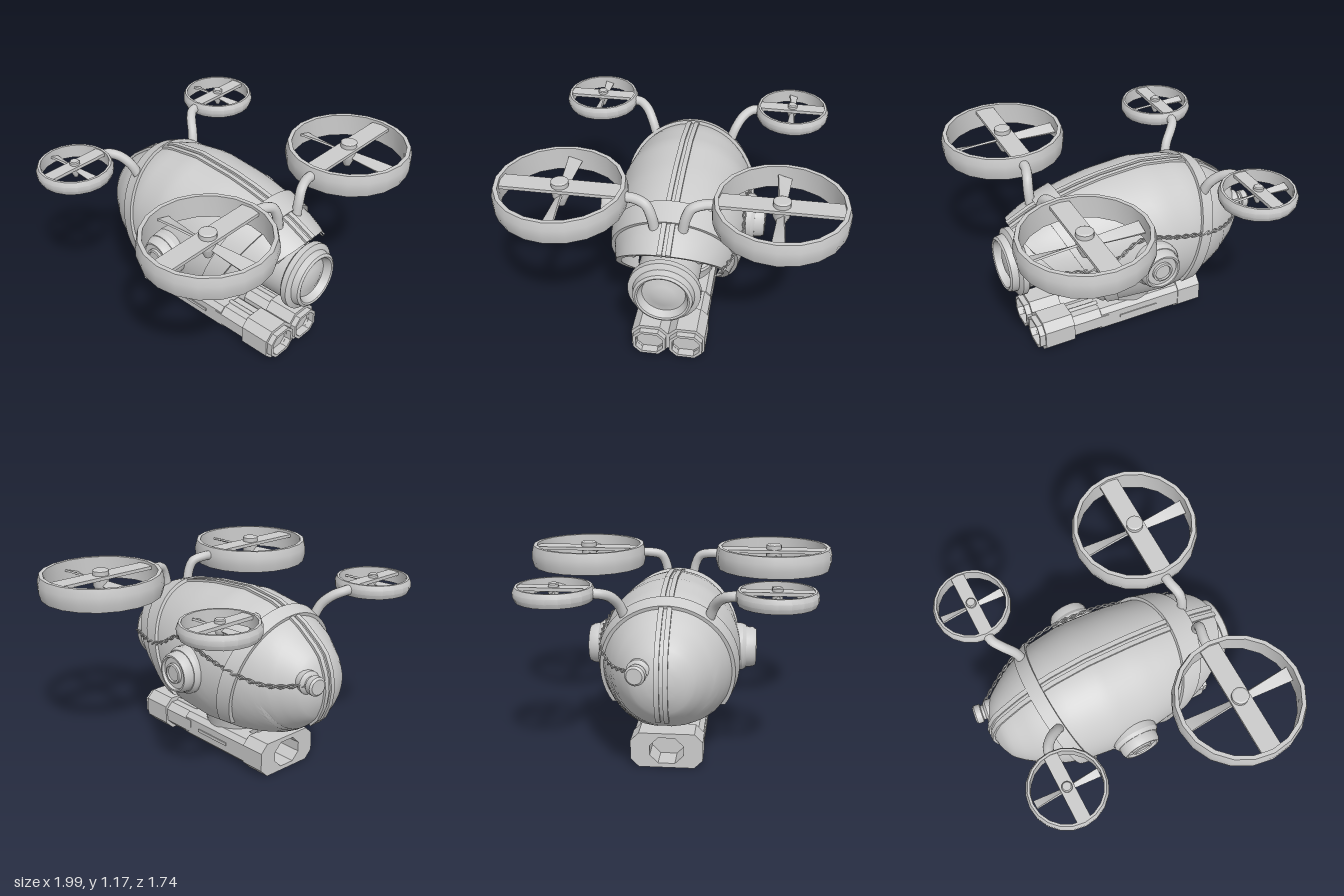
import * as THREE from 'three';
import { toCreasedNormals } from 'three/addons/utils/BufferGeometryUtils.js';

const mat = new THREE.MeshStandardMaterial({ color: 0xcccccc, side: THREE.DoubleSide });
const V = (x, y, z) => new THREE.Vector3(x, y, z);
const lerp = THREE.MathUtils.lerp;

function add(parent, name, geo, x = 0, y = 0, z = 0) {
  const m = new THREE.Mesh(geo, mat);
  m.name = name;
  m.position.set(x, y, z);
  parent.add(m);
  return m;
}

// Skin a list of closed rings, with optional fan caps
function loft(rings, caps = true, crease = 0.7) {
  const n = rings[0].length, pts = rings.flat(), idx = [];
  for (let i = 0; i < rings.length - 1; i++) for (let j = 0; j < n; j++) {
    const a = i * n + j, b = i * n + (j + 1) % n;
    idx.push(a, a + n, b, b, a + n, b + n);
  }
  if (caps) [0, rings.length - 1].forEach((r, e) => {
    const c = pts.length;
    pts.push(rings[r].reduce((s, p) => s.add(p), V(0, 0, 0)).divideScalar(n));
    for (let j = 0; j < n; j++) {
      const a = r * n + j, b = r * n + (j + 1) % n;
      e ? idx.push(c, b, a) : idx.push(c, a, b);
    }
  });
  const g = new THREE.BufferGeometry().setFromPoints(pts);
  g.setIndex(idx);
  return toCreasedNormals(g, crease);
}

const lathe = (profile, seg = 32) =>
  toCreasedNormals(new THREE.LatheGeometry(profile.map(p => new THREE.Vector2(...p)), seg), 0.5);

// Hull profile: z and radius about the axis at height AXIS
const AXIS = 0.63, WIDE = 0.935, TAIL = -0.825;
const PROFILE = [[0.72, 0.235], [0.69, 0.25], [0.55, 0.32], [0.4, 0.37], [0.25, 0.405], [0.1, 0.43], [-0.17, 0.45],
  [-0.39, 0.42], [-0.5, 0.38], [-0.6, 0.33], [-0.72, 0.24], [-0.77, 0.19], [-0.81, 0.1], [TAIL, 0]];
function radius(z) {
  for (let i = 1; i < PROFILE.length; i++) {
    const [z0, r0] = PROFILE[i - 1], [z1, r1] = PROFILE[i];
    if (z >= z1) return lerp(r0, r1, Math.max(0, (z0 - z) / (z0 - z1)));
  }
  return 0;
}
// Point on the hull at fraction u of the arch, where z depends on the height
function hullPoint(u, off, zOf, floor) {
  let y = AXIS, z = 0, x = 0;
  for (let k = 0; k < 24; k++) {
    z = zOf(y);
    const r = Math.max(0.001, radius(z) + off);
    const a0 = -Math.asin(Math.min(1, (AXIS - floor(z)) / r));
    const a = lerp(a0, Math.PI - a0, u);
    y = AXIS + r * Math.sin(a);
    x = WIDE * r * Math.cos(a);
  }
  return V(x, y, z);
}
const hoodFront = y => 0.23 + (y - 0.36) * 0.885;
const hullFloor = z => 0.35 + 0.045 * z;

function arches(off, shift, floor, rows = 36, n = 48) {
  return Array.from({ length: rows + 1 }, (_, i) => {
    const t = 1 - (1 - i / rows) ** 1.6;
    return Array.from({ length: n + 1 }, (_, j) =>
      hullPoint(j / n, off, y => lerp(hoodFront(y) - shift, TAIL, t), floor));
  });
}

// Strap round the hull with a square section
function strap(zMid, half, floor) {
  const rings = [];
  for (let i = 0; i <= 44; i++) {
    const corner = (off, s) => hullPoint(i / 44, off, y => zMid(y) + s * half(y), () => floor);
    rings.push([corner(-0.02, 1), corner(-0.02, -1), corner(0.022, -1), corner(0.022, 1)]);
  }
  return loft(rings);
}

// Chamfered rectangle, optionally with a chamfered hole, extruded from z0 to z1
function outline(S, w, h, c) {
  const a = w / 2, b = h / 2;
  return new S([[a, c - b], [a, b - c], [a - c, b], [c - a, b], [-a, b - c], [-a, c - b], [c - a, -b], [a - c, -b]]
    .map(p => new THREE.Vector2(...p)));
}
function block(w, h, c, z0, z1, hole) {
  const s = outline(THREE.Shape, w, h, c);
  if (hole) s.holes.push(outline(THREE.Path, ...hole));
  return new THREE.ExtrudeGeometry(s, { depth: z1 - z0, bevelEnabled: false }).translate(0, 0, z0);
}

// Ducted rotor
function rotor(R, rim, h, bar) {
  const g = new THREE.Group(), ri = R - rim, k = R / 0.38;
  g.name = 'rotor';
  add(g, 'duct', lathe([[ri, -h / 2], [R - 0.012, -h / 2], [R, -h / 6], [R, h / 6], [R - 0.012, h / 2],
    [ri, h / 2], [ri, -h / 2]], 20));
  add(g, 'crossBar', new THREE.BoxGeometry(2 * ri + 0.02, 0.02, bar), 0, h * 0.3, 0);
  const top = h / 2 + 0.015, low = -h / 2 - 0.01;
  add(g, 'hub', lathe([[0, low], [0.02 * k, low], [0.05 * k, -h * 0.1], [0.05 * k, top - 0.006],
    [0.04 * k, top], [0, top]], 16));
  for (const s of [0, 1]) {
    const geo = new THREE.BoxGeometry(1, 0.012, 1, 1, 1, 8), p = geo.attributes.position, v = V(0, 0, 0);
    for (let i = 0; i < p.count; i++) {
      v.fromBufferAttribute(p, i);
      const t = v.z + 0.5;
      v.x *= lerp(0.04, 0.085, t) * k;
      v.z = t * (ri - 0.008);
      v.applyAxisAngle(V(0, 0, 1), lerp(0.75, 0.3, t));
      p.setXYZ(i, v.x, v.y, v.z);
    }
    geo.computeVertexNormals();
    add(g, 'blade', geo).rotation.y = s * Math.PI;
  }
  return g;
}

export function createModel() {
  const model = new THREE.Group();
  model.name = 'rotorDrone';

  // Hull shell with open hood and belly, and the closed core inside
  const outer = arches(0, 0, hullFloor), inner = arches(-0.035, 0, hullFloor);
  const shell = outer.map((o, i) => [...o, ...inner[i].slice().reverse()]);
  shell.unshift([...inner[0], ...inner[0].slice().reverse()]);
  add(model, 'hullShell', loft(shell, false));
  add(model, 'innerCore', loft(arches(-0.045, 0.16, () => 0.43)));

  // Straps and twin spine rails
  add(model, 'frontStrap', strap(y => 0.19 + (y - 0.4) * 0.43, y => 0.038 + (y - 0.4) * 0.07, 0.38));
  add(model, 'rearStrap', strap(y => -0.335 - (y - 0.37) * 0.26, () => 0.045, 0.37));
  const spine = [...PROFILE.slice(1), [-0.81, -0.1], [-0.77, -0.19], [-0.72, -0.24]];
  for (const x of [-0.024, 0.024]) {
    add(model, 'spineRail', loft(spine.map(([z, r], i) => {
      const p = spine[Math.max(0, i - 1)], q = spine[Math.min(spine.length - 1, i + 1)];
      const dz = q[0] - p[0], dr = q[1] - p[1], l = Math.hypot(dz, dr);
      const at = (dx, o) => V(x + dx, AXIS + r - o * dz / l, z + o * dr / l);
      return [at(-0.014, -0.02), at(0.014, -0.02), at(0.014, 0.012), at(-0.014, 0.012)];
    })));
  }

  // Front camera
  add(model, 'camera', lathe([[0, 0.2], [0.18, 0.2], [0.18, 0.64], [0.2, 0.65], [0.21, 0.66], [0.21, 0.695], [0.19, 0.705],
    [0.178, 0.71], [0.17, 0.75], [0.155, 0.76], [0.145, 0.755], [0.125, 0.71], [0.12, 0.71], [0.07, 0.73], [0, 0.738]], 36)
    .rotateX(Math.PI / 2), 0, 0.62, 0);

  // Side ports
  for (const s of [1, -1]) {
    add(model, 'sidePort', lathe([[0.145, 0.36], [0.145, 0.43], [0.13, 0.452], [0.125, 0.452], [0.122, 0.49], [0.11, 0.512],
      [0.1, 0.512], [0.095, 0.495], [0.062, 0.495], [0.062, 0.512], [0.05, 0.516], [0.046, 0.506], [0, 0.506]], 28)
      .rotateZ(-Math.PI / 2 * s), 0, 0.635, -0.06);
  }

  // Rotors and their bent arms
  for (const s of [1, -1]) {
    const front = rotor(0.38, 0.036, 0.14, 0.12), rear = rotor(0.228, 0.026, 0.082, 0.08);
    front.position.set(0.615 * s, 1.09, 0.48);
    rear.position.set(0.615 * s, 1.085, -0.6);
    model.add(front, rear);
    const arms = {
      frontArm: [[0.27, 1.105, 0.485], [0.2, 1.105, 0.49], [0.13, 1.085, 0.51], [0.1, 1.03, 0.52], [0.08, 0.93, 0.52]],
      rearArm: [[0.41, 1.085, -0.6], [0.36, 1.08, -0.59], [0.31, 1.055, -0.55], [0.27, 1.0, -0.5], [0.24, 0.92, -0.47]],
    };
    for (const [name, pts] of Object.entries(arms)) {
      const curve = new THREE.CatmullRomCurve3(pts.map(p => V(p[0] * s, p[1], p[2])));
      add(model, name, new THREE.TubeGeometry(curve, 20, 0.03, 12));
    }
  }

  // Tail knob and twisted cable on the left side
  const knob = add(model, 'tailKnob', lathe([[0.07, -0.06], [0.07, 0.035], [0.06, 0.045], [0.045, 0.05], [0.045, 0.065],
    [0.057, 0.07], [0.057, 0.105], [0.045, 0.115], [0, 0.115]], 20), 0.12, 0.7, -0.755);
  knob.rotation.set(-Math.PI / 2, 0, -0.15);
  const run = [[0.57, 0.69], [0.4, 0.69], [0.28, 0.7], [0.17, 0.74], [0.07, 0.8], [-0.02, 0.815], [-0.2, 0.78], [-0.39, 0.735],
    [-0.52, 0.7], [-0.63, 0.68], [-0.72, 0.685]].map(([z, y]) =>
    V(WIDE * Math.sqrt(radius(z) ** 2 - (y - AXIS) ** 2) + 0.018, y, z));
  const path = new THREE.CatmullRomCurve3([...run, V(0.17, 0.7, -0.8)]);
  for (const phase of [0, Math.PI]) {
    const strand = Array.from({ length: 121 }, (_, i) => {
      const a = i * 0.65 + phase;
      return path.getPointAt(i / 120).add(V(0.007 * Math.cos(a), 0.009 * Math.sin(a), 0));
    });
    add(model, 'cable', new THREE.TubeGeometry(new THREE.CatmullRomCurve3(strand), 240, 0.005, 6));
  }

  // Turret neck
  add(model, 'turretNeck', lathe([[0.19, 0.19], [0.192, 0.21], [0.212, 0.275], [0.205, 0.29], [0.18, 0.295], [0.18, 0.34],
    [0.15, 0.35], [0.15, 0.45]], 32), 0, 0, -0.06);

  // Twin-barrelled pod
  const pod = new THREE.Group();
  pod.name = 'pod';
  pod.position.y = 0.117;
  model.add(pod);
  add(pod, 'podBody', block(0.42, 0.165, 0.03, -0.36, 0.2));
  add(pod, 'podTail', block(0.43, 0.215, 0.05, -0.51, -0.35, [0.2, 0.16, 0.05]));
  const fin = new THREE.Shape([[0.27, 0.07], [0.35, 0.145], [0.37, 0.07]].map(p => new THREE.Vector2(...p)));
  add(pod, 'podFin', new THREE.ExtrudeGeometry(fin, { depth: 0.2, bevelEnabled: false })
    .rotateY(Math.PI / 2).translate(-0.1, 0, 0));
  add(pod, 'bellyCap', new THREE.CylinderGeometry(0.09, 0.08, 0.02, 8), 0, -0.085, -0.06);
  for (const s of [1, -1]) {
    const barrel = new THREE.Group();
    barrel.name = 'barrel';
    barrel.position.x = 0.112 * s;
    pod.add(barrel);
    add(barrel, 'sleeve', block(0.2, 0.16, 0.04, 0.15, 0.4));
    add(barrel, 'casing', block(0.224, 0.215, 0.05, 0.39, 0.585, [0.16, 0.14, 0.035]));
    add(barrel, 'muzzle', block(0.2, 0.175, 0.045, 0.58, 0.62, [0.165, 0.14, 0.035]));
    add(barrel, 'lens', block(0.17, 0.15, 0.03, 0.5, 0.57));
    add(barrel, 'topRod', new THREE.CylinderGeometry(0.014, 0.014, 0.22, 8).rotateX(Math.PI / 2), 0, 0.08, 0.3);
    add(pod, 'sideSlot', new THREE.BoxGeometry(0.012, 0.02, 0.26), 0.21 * s, 0, -0.06);
  }
  return model;
}
